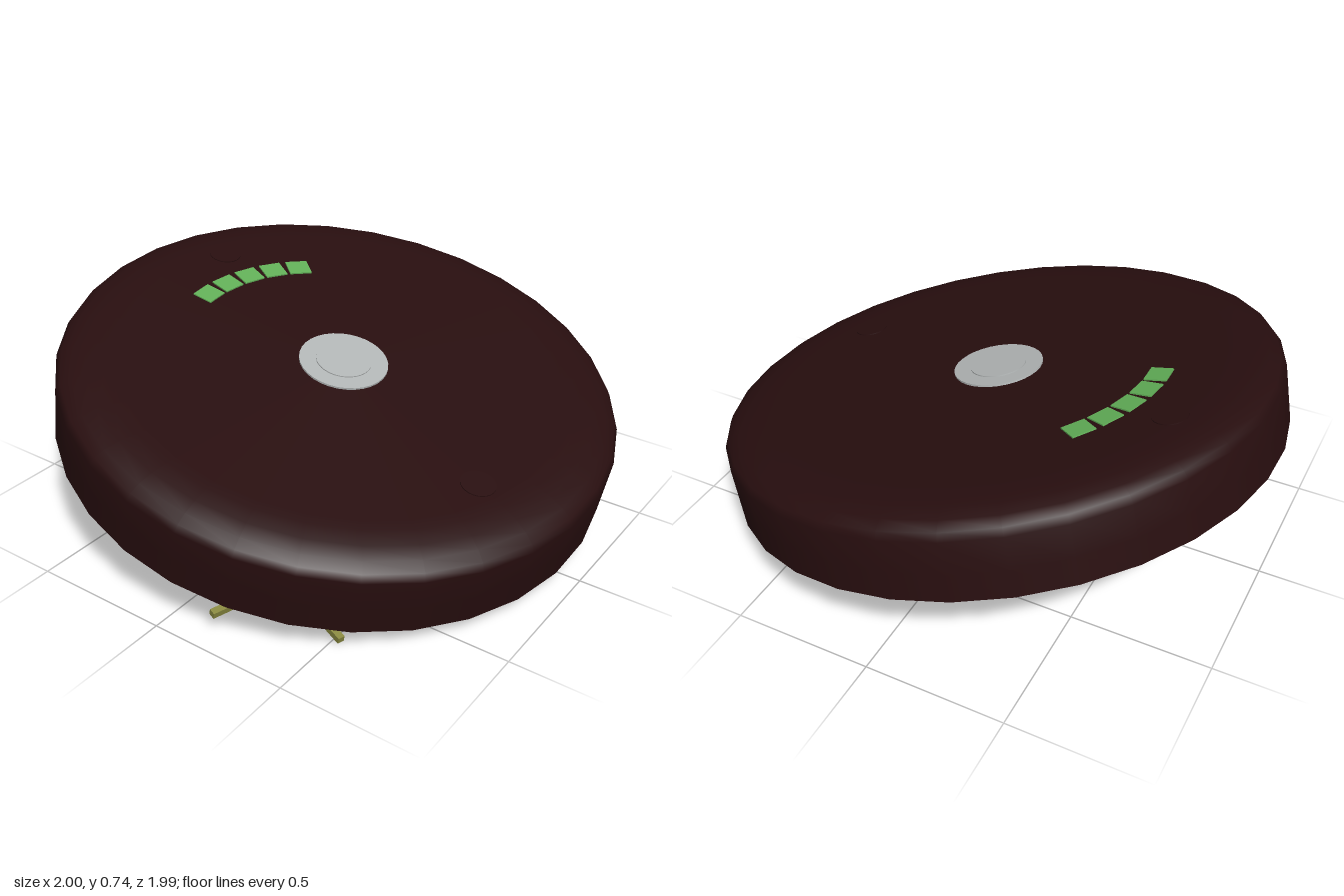
import * as THREE from 'three';

const mat = (name, color, extra = {}) => {
  const m = new THREE.MeshStandardMaterial({ color, ...extra });
  m.name = name;
  return m;
};

export function createModel() {
  const maroon = mat('dark maroon', 0x280e0f);
  const plate = mat('dark taupe', 0x4c453a);
  const brown = mat('brown', 0x85745f);
  const grey = mat('wheel grey', 0x95969b);
  const silver = mat('silver', 0xb3b7b7);
  const green = mat('green', 0x62b058);
  const olive = mat('olive', 0x8a8a40);

  const model = new THREE.Group();
  model.name = 'robotVacuum';

  // The whole machine is turned a little and pitched nose-down
  const body = new THREE.Group();
  body.name = 'tiltedBody';
  body.rotation.order = 'YXZ';
  body.rotation.set(THREE.MathUtils.degToRad(12.8), THREE.MathUtils.degToRad(-16.875), 0);
  body.position.set(0.0075, 0.283, -0.025);
  model.add(body);

  const add = (name, geometry, material, x = 0, y = 0, z = 0, parent = body) => {
    const mesh = new THREE.Mesh(geometry, material);
    mesh.name = name;
    mesh.position.set(x, y, z);
    parent.add(mesh);
    return mesh;
  };
  const lathe = (pts) => new THREE.LatheGeometry(pts.map(([r, y]) => new THREE.Vector2(r, y)), 32);

  // Shell: straight wall with a rounded upper rim
  const top = 0.278;
  add('shell', lathe([[1, 0], [1, 0.1], [1, 0.215], [0.985, 0.24], [0.95, 0.26], [0.9, 0.273],
    [0.84, top], [0.8, top], [0, top]]), maroon);

  // Underside: shallow dish
  add('basePlate', lathe([[0, -0.04], [0.76, -0.04], [0.82, -0.039], [0.9, -0.031],
    [0.96, -0.016], [1, 0]]), plate);

  // Top button and its inner disc
  add('buttonRing', new THREE.CylinderGeometry(0.16, 0.16, 0.008, 32), silver, 0, top + 0.003, 0);
  add('buttonCentre', new THREE.CylinderGeometry(0.1, 0.1, 0.006, 32), silver, 0, top + 0.008, 0);

  // Arc of indicator lights towards the back
  for (let i = -2; i <= 2; i++) {
    const a = THREE.MathUtils.degToRad(i * 10);
    const light = add('indicatorLight', new THREE.BoxGeometry(0.086, 0.006, 0.08), green,
      Math.sin(a) * 0.6, top + 0.002, -Math.cos(a) * 0.6);
    light.rotation.y = -a;
  }

  // Low sensor caps, front and back
  for (const z of [0.72, -0.77]) {
    add('sensorCap', new THREE.CylinderGeometry(0.06, 0.06, 0.005, 24), maroon, 0, top + 0.001, z);
  }

  // Main roller under the belly
  add('roller', new THREE.CylinderGeometry(0.095, 0.095, 0.9, 24), brown, 0, -0.045, 0.245)
    .rotation.z = Math.PI / 2;

  for (const side of [1, -1]) {
    // Drive wheel: grey inner half, brown outer half
    for (const [name, material, x] of [['wheelRim', grey, 0.585], ['wheelTyre', brown, 0.66]]) {
      add(name, new THREE.CylinderGeometry(0.175, 0.175, 0.075, 32), material, side * x, -0.035, 0.03)
        .rotation.z = Math.PI / 2;
    }

    // Side brush: flattened mount, rounded hub and four bristle arms
    const brush = new THREE.Group();
    brush.name = 'sideBrush';
    brush.position.set(side * 0.54, 0, 0.49);
    body.add(brush);
    add('brushMount', new THREE.SphereGeometry(0.16, 24, 12), brown, 0, -0.04, 0, brush)
      .scale.y = 0.25;
    add('brushHub', new THREE.SphereGeometry(0.08, 20, 12), olive, 0, -0.065, 0, brush)
      .scale.y = 0.65;
    for (const [w, d] of [[0.586, 0.024], [0.024, 0.586]]) {
      add('brushArms', new THREE.BoxGeometry(w, 0.022, d), olive, 0, -0.095, 0, brush);
    }
  }

  return model;
}
